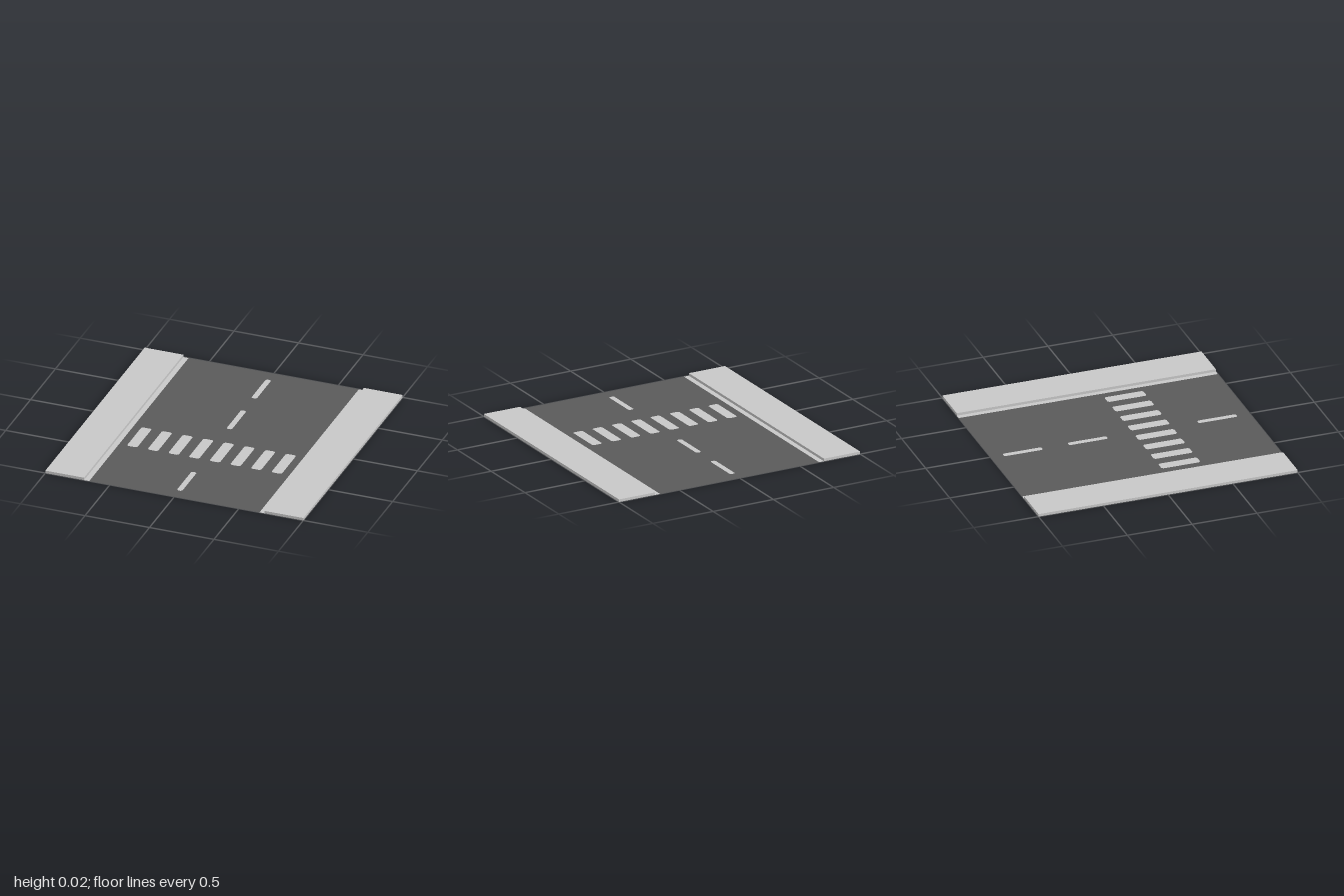
import * as THREE from 'three';

const HALF_ROAD = 0.66, HALF_BED = 0.7, HEIGHT = 0.02;

// Rectangle with clipped corners, centred on (x, z) on the ground
function rect(x, z, w, d, cut = 0, Type = THREE.Shape) {
  const a = w / 2, b = d / 2, y = -z;
  const pts = cut
    ? [[-a + cut, -b], [a - cut, -b], [a, -b + cut], [a, b - cut],
       [a - cut, b], [-a + cut, b], [-a, b - cut], [-a, -b + cut]]
    : [[-a, -b], [a, -b], [a, b], [-a, b]];
  return new Type(pts.map(([px, py]) => new THREE.Vector2(x + px, y + py)));
}

export function createModel() {
  const group = new THREE.Group();
  group.name = 'roadWithCrossing';
  const asphalt = new THREE.MeshStandardMaterial({ color: 0x5a5a5a, side: THREE.DoubleSide });
  asphalt.name = 'asphalt';
  const concrete = new THREE.MeshStandardMaterial({ color: 0xc8c8c8, side: THREE.DoubleSide });
  concrete.name = 'paleGrey';

  const add = (geometry, material, name) => {
    const mesh = new THREE.Mesh(geometry, material);
    mesh.name = name;
    group.add(mesh);
    return mesh;
  };
  const flat = (shape) => new THREE.ShapeGeometry(shape).rotateX(-Math.PI / 2);

  // Painted marks: centre x, centre z, width, length, corner cut, name
  const marks = [-0.75, -0.25, 0.75].map((z) => [0, z, 0.042, 0.3, 0.01, 'centreDash']);
  for (let i = 0; i < 8; i++) marks.push([-0.56 + i * 0.16, 0.25, 0.08, 0.3, 0.012, 'crossingStripe']);

  // Road surface, with the marks set flush into it
  const road = rect(0, 0, HALF_ROAD * 2, 2);
  for (const [x, z, w, d, cut, name] of marks) {
    road.holes.push(rect(x, z, w, d, cut, THREE.Path));
    add(flat(rect(x, z, w, d, cut)), concrete, name);
  }
  add(flat(road), asphalt, 'roadSurface');

  // Gutter strips and raised pavements on both sides
  for (const [side, label] of [[1, 'left'], [-1, 'right']]) {
    const gutterWidth = HALF_BED - HALF_ROAD, paveWidth = 1 - HALF_BED;
    add(flat(rect(side * (HALF_ROAD + gutterWidth / 2), 0, gutterWidth, 2)), concrete, label + 'Gutter');
    add(new THREE.BoxGeometry(paveWidth, HEIGHT, 2), concrete, label + 'Pavement')
      .position.set(side * (HALF_BED + paveWidth / 2), HEIGHT / 2, 0);
  }
  return group;
}
